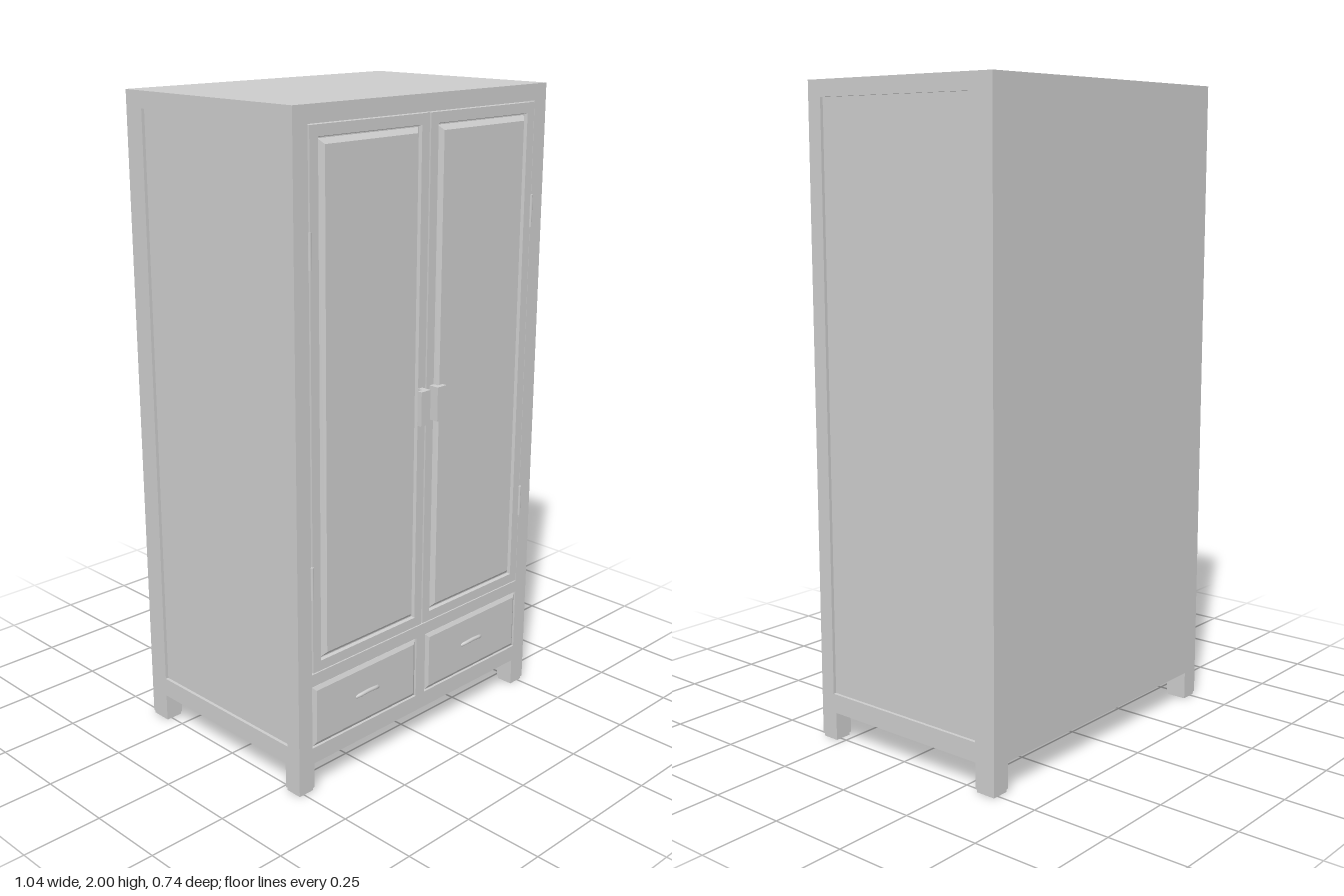
import * as THREE from 'three';

const material = new THREE.MeshStandardMaterial({ color: 0xcccccc, flatShading: true });
const smooth = new THREE.MeshStandardMaterial({ color: 0xcccccc });

function add(parent, name, geometry, x = 0, y = 0, z = 0, mat = material) {
  const mesh = new THREE.Mesh(geometry, mat);
  mesh.name = name;
  mesh.position.set(x, y, z);
  parent.add(mesh);
  return mesh;
}

// Flat plate with rectangular openings; rectangles are [x0, y0, x1, y1]
function plate(outer, holes, depth) {
  const trace = (path, [x0, y0, x1, y1]) =>
    path.moveTo(x0, y0).lineTo(x1, y0).lineTo(x1, y1).lineTo(x0, y1).closePath();
  const shape = trace(new THREE.Shape(), outer);
  shape.holes = holes.map((h) => trace(new THREE.Path(), h));
  return new THREE.ExtrudeGeometry(shape, { depth, bevelEnabled: false });
}

// Moulded rectangular front: nested rectangles given as [inset, z] steps, closed by a flat centre
function moulded([x0, y0, x1, y1], steps) {
  const rings = steps.map(([i, z]) => [
    [x0 + i, y0 + i, z], [x1 - i, y0 + i, z], [x1 - i, y1 - i, z], [x0 + i, y1 - i, z],
  ]);
  const pos = [];
  const quad = (a, b, c, d) => pos.push(...a, ...b, ...c, ...a, ...c, ...d);
  for (let k = 0; k < rings.length - 1; k++) {
    for (let i = 0; i < 4; i++) {
      const j = (i + 1) % 4;
      quad(rings[k][i], rings[k][j], rings[k + 1][j], rings[k + 1][i]);
    }
  }
  quad(...rings[rings.length - 1]);
  const geometry = new THREE.BufferGeometry();
  geometry.setAttribute('position', new THREE.Float32BufferAttribute(pos, 3));
  geometry.computeVertexNormals();
  return geometry;
}

const mirrorRect = ([x0, y0, x1, y1], s) => (s > 0 ? [x0, y0, x1, y1] : [-x1, y0, -x0, y1]);

export function createModel() {
  const wardrobe = new THREE.Group();
  wardrobe.name = 'wardrobe';

  // Carcass, reaching to the back of the face frame and the floor of the side recesses
  add(wardrobe, 'carcass', new THREE.BoxGeometry(1.02, 1.91, 0.68), 0, 1.045, -0.03);

  // Face frame with openings for the doors and both drawers
  const drawerOpening = [0.02, 0.142, 0.467, 0.343];
  add(wardrobe, 'faceFrame', plate([-0.52, 0.09, 0.52, 2], [
    [-0.467, 0.382, 0.467, 1.952],
    drawerOpening,
    mirrorRect(drawerOpening, -1),
  ], 0.02), 0, 0, 0.31);

  const doorRect = [0.003, 0.387, 0.463, 1.947];
  const doorSteps = [[0, 0.31], [0, 0.332], [0.031, 0.332], [0.034, 0.322], [0.037, 0.322], [0.052, 0.336]];
  const drawerRect = [0.024, 0.146, 0.463, 0.339];
  const drawerSteps = [[0, 0.31], [0, 0.326], [0.012, 0.333]];

  // Hooked door handle, seen in plan, with its lip pointing away from the centre
  const hook = new THREE.Shape([
    [0.016, -0.33], [0.016, -0.365], [0.054, -0.365], [0.054, -0.349], [0.034, -0.349], [0.034, -0.33],
  ].map(([x, y]) => new THREE.Vector2(x, y)));

  // Bowed drawer pull
  const bow = new THREE.CatmullRomCurve3([
    [-0.047, 0.242, 0.33], [-0.032, 0.248, 0.338], [0, 0.251, 0.34], [0.032, 0.248, 0.338], [0.047, 0.242, 0.33],
  ].map((p) => new THREE.Vector3(...p)));

  for (const s of [1, -1]) {
    const side = s > 0 ? 'left' : 'right';

    // Side frame around the recessed side panel
    const sideFrame = add(wardrobe, `${side}SideFrame`,
      plate([-0.37, 0.09, 0.31, 2], [[-0.3, 0.15, 0.28, 1.95]], 0.01), s > 0 ? 0.52 : -0.51);
    sideFrame.rotation.y = -Math.PI / 2;

    // Door and drawer
    add(wardrobe, `${side}Door`, moulded(mirrorRect(doorRect, s), doorSteps));
    add(wardrobe, `${side}Drawer`, moulded(mirrorRect(drawerRect, s), drawerSteps));

    // Handles
    const points = hook.getPoints().map((p) => new THREE.Vector2(p.x * s, p.y));
    const handle = add(wardrobe, `${side}DoorHandle`,
      new THREE.ExtrudeGeometry(new THREE.Shape(points), { depth: 0.105, bevelEnabled: false }), 0, 1.05, 0);
    handle.rotation.x = -Math.PI / 2;
    add(wardrobe, `${side}DrawerPull`, new THREE.TubeGeometry(bow, 20, 0.006, 10), s * 0.24, 0, 0, smooth);

    // Hinge barrels
    for (const y of [0.67, 1.62]) {
      add(wardrobe, `${side}Hinge`, new THREE.CylinderGeometry(0.005, 0.005, 0.1, 12), s * 0.465, y, 0.332, smooth);
    }

    // Legs on slightly narrower foot pads
    for (const z of [0.3, -0.335]) {
      const depth = z > 0 ? 0.06 : 0.07;
      add(wardrobe, `${side}Leg`, new THREE.BoxGeometry(0.06, 0.08, depth), s * 0.49, 0.05, z);
      add(wardrobe, `${side}FootPad`, new THREE.BoxGeometry(0.054, 0.01, depth - 0.006), s * 0.49, 0.005, z);
    }
  }
  return wardrobe;
}
